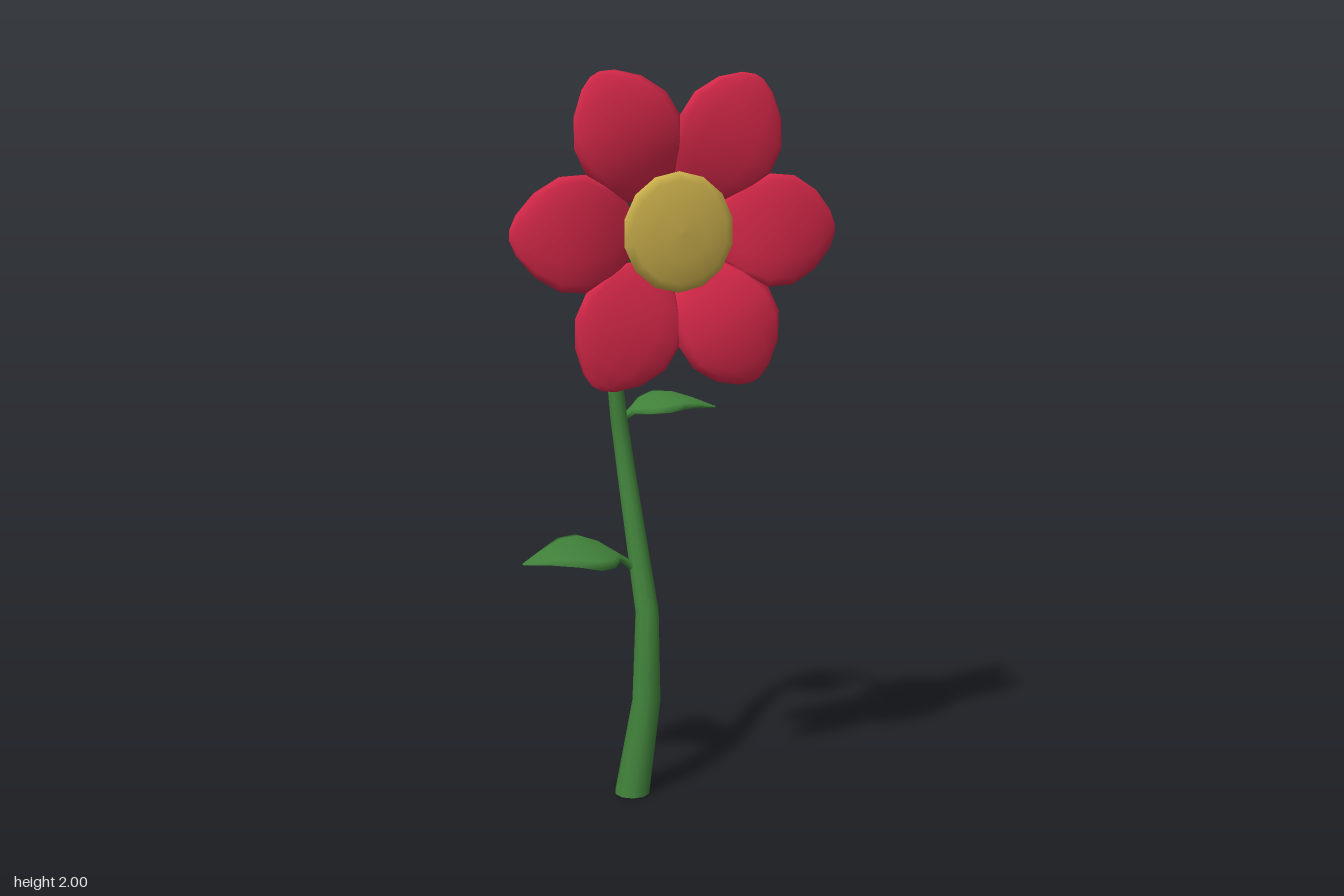
import * as THREE from 'three';

const V = (x, y, z) => new THREE.Vector3(x, y, z);
const red = new THREE.MeshStandardMaterial({ color: 0xd9294a });
const green = new THREE.MeshStandardMaterial({ color: 0x40803a });
const gold = new THREE.MeshStandardMaterial({ color: 0xcbb04c });

// Closed loft; each station has centre c, axes u and v, half-width w, and heights up / down along v.
function loft(stations, sides) {
  const pos = [], index = [];
  for (const s of stations) {
    for (let j = 0; j < sides; j++) {
      const a = (j / sides) * Math.PI * 2, sn = Math.sin(a);
      const p = s.c.clone()
        .addScaledVector(s.u, Math.cos(a) * s.w)
        .addScaledVector(s.v, sn * (sn > 0 ? s.up : s.down));
      pos.push(p.x, p.y, p.z);
    }
  }
  const last = stations.length - 1;
  for (let i = 0; i < last; i++) {
    for (let j = 0; j < sides; j++) {
      const k = (j + 1) % sides;
      const a = i * sides + j, b = i * sides + k, c = a + sides, d = b + sides;
      index.push(a, b, c, b, d, c);
    }
  }
  // End caps with their own vertices so the rims stay crisp
  for (const i of [0, last]) {
    const base = pos.length / 3;
    for (let j = 0; j < sides; j++) {
      const q = (i * sides + j) * 3;
      pos.push(pos[q], pos[q + 1], pos[q + 2]);
    }
    for (let j = 1; j < sides - 1; j++) {
      if (i === 0) index.push(base, base + j + 1, base + j);
      else index.push(base, base + j, base + j + 1);
    }
  }
  const g = new THREE.BufferGeometry();
  g.setAttribute('position', new THREE.Float32BufferAttribute(pos, 3));
  g.setIndex(index);
  g.computeVertexNormals();
  return g;
}

function add(parent, name, geometry, material) {
  const m = new THREE.Mesh(geometry, material);
  m.name = name;
  parent.add(m);
  return m;
}

// Tapered stem that bends over to carry the bloom: x, y, z, radius
function stemGeometry() {
  const path = [
    [-0.01, 0, -0.03, 0.05], [0.034, 0.27, -0.03, 0.041], [0.047, 0.52, -0.058, 0.034],
    [0.042, 0.85, -0.185, 0.028], [0.022, 1.05, -0.21, 0.025], [0, 1.25, -0.208, 0.022],
    [0, 1.4, -0.172, 0.02], [0, 1.51, -0.1, 0.018], [0, 1.58, 0.04, 0.016], [0, 1.592, 0.235, 0.015],
  ];
  const u = V(1, 0, 0);
  return loft(path.map(([x, y, z, r], i) => {
    const a = path[Math.max(i - 1, 0)], b = path[Math.min(i + 1, path.length - 1)];
    const t = i === 0 ? V(0, 1, 0) : V(0, b[1] - a[1], b[2] - a[2]).normalize();
    return { c: V(x, y, z), u, v: t.cross(u), w: r, up: r, down: r };
  }), 10);
}

// Thick petal along +x: radius, half-width, edge z, front bulge, back bulge
function petalGeometry() {
  const rows = [
    [0.1, 0.03, 0.225, 0.008, 0.01], [0.13, 0.075, 0.24, 0.012, 0.025],
    [0.18, 0.115, 0.262, 0.012, 0.034], [0.25, 0.145, 0.27, 0.024, 0.025],
    [0.32, 0.14, 0.272, 0.024, 0.019], [0.385, 0.102, 0.27, 0.02, 0.013],
    [0.43, 0.05, 0.265, 0.01, 0.007], [0.445, 0.015, 0.262, 0.004, 0.004],
  ];
  const u = V(0, 1, 0), v = V(0, 0, 1);
  return loft(rows.map(([r, w, z, up, down]) => ({ c: V(r, 0, z), u, v, w, up, down })), 12);
}

// Leaf with its stalk; dir is the way it points along x: x, y, z, half-width, half-thickness
function leafGeometry(rows, dir) {
  const u = V(0, 0.25 * dir, -dir).normalize();
  const v = V(dir, 0, 0).cross(u);
  return loft(rows.map(([x, y, z, w, h]) => ({ c: V(x, y, z), u, v, w, up: h, down: h })), 8);
}

export function createModel() {
  const model = new THREE.Group();
  model.name = 'flower';
  add(model, 'stem', stemGeometry(), green);

  // Leaves
  add(model, 'rightLeaf', leafGeometry([
    [0.035, 0.625, -0.105, 0.015, 0.018], [0.005, 0.655, -0.11, 0.014, 0.014],
    [-0.02, 0.672, -0.112, 0.025, 0.012], [-0.06, 0.685, -0.112, 0.088, 0.014],
    [-0.11, 0.695, -0.106, 0.114, 0.016], [-0.17, 0.7, -0.108, 0.092, 0.015],
    [-0.235, 0.693, -0.103, 0.049, 0.011], [-0.305, 0.68, -0.1, 0.003, 0.003],
  ], -1), green);
  add(model, 'leftLeaf', leafGeometry([
    [0.025, 1.02, -0.215, 0.014, 0.016], [0.05, 1.05, -0.234, 0.012, 0.012],
    [0.075, 1.068, -0.235, 0.02, 0.012], [0.11, 1.08, -0.228, 0.062, 0.014],
    [0.155, 1.09, -0.218, 0.083, 0.016], [0.205, 1.092, -0.209, 0.066, 0.014],
    [0.255, 1.084, -0.198, 0.037, 0.01], [0.312, 1.07, -0.186, 0.003, 0.003],
  ], 1), green);

  // Bloom: six petals round a domed centre
  const bloom = new THREE.Group();
  bloom.name = 'bloom';
  bloom.position.y = 1.6;
  const petal = petalGeometry();
  for (let i = 0; i < 6; i++) {
    add(bloom, 'petal' + (i + 1), petal, red).rotation.z = (i * Math.PI) / 3;
  }
  const profile = [
    [0, 0.222], [0.08, 0.232], [0.14, 0.255], [0.152, 0.268], [0.13, 0.28], [0.07, 0.29], [0, 0.293],
  ].map(([r, z]) => new THREE.Vector2(r, z));
  add(bloom, 'flowerCentre', new THREE.LatheGeometry(profile, 14).rotateX(Math.PI / 2), gold);
  model.add(bloom);
  return model;
}
